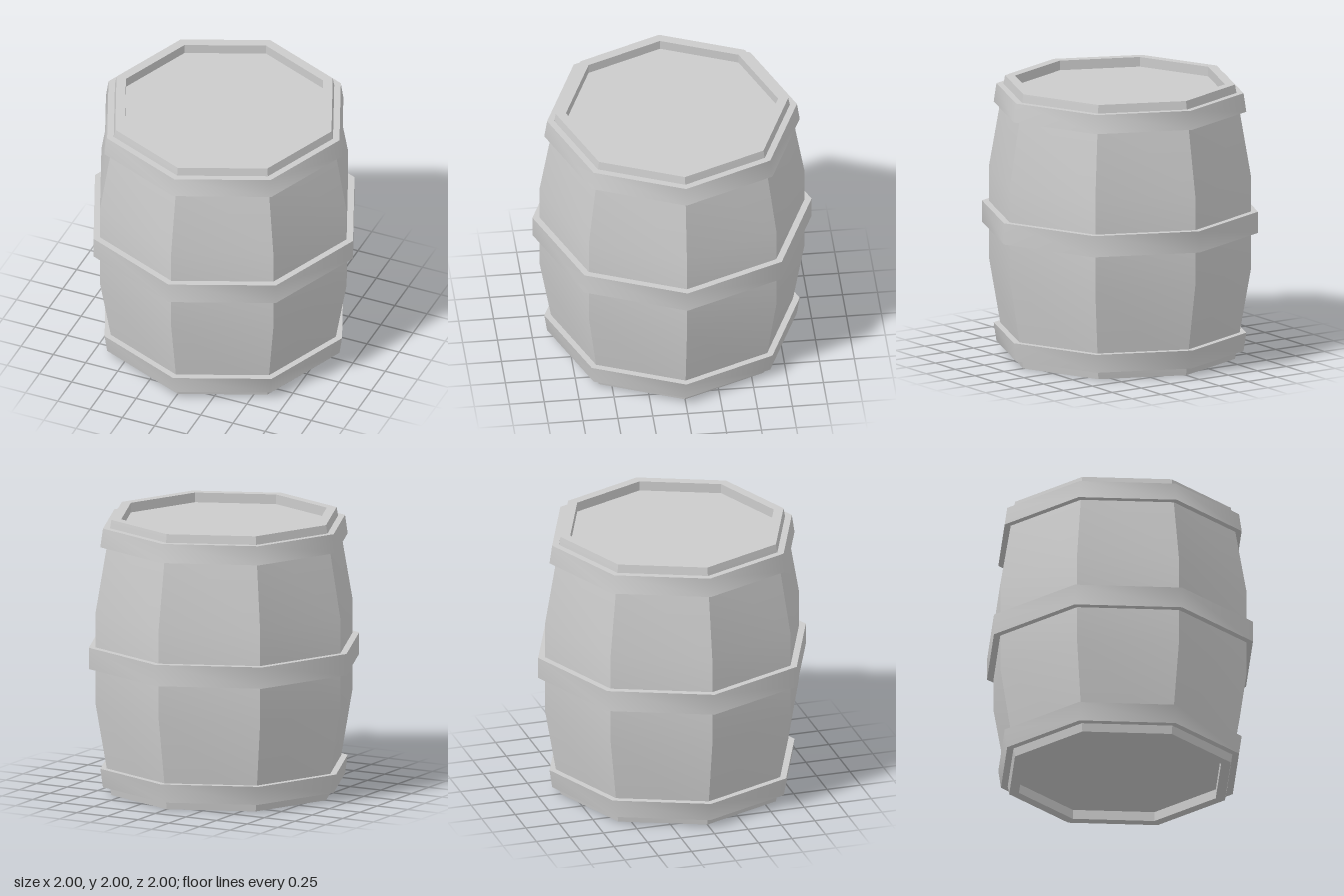
import * as THREE from 'three';
import { toCreasedNormals } from 'three/addons/utils/BufferGeometryUtils.js';

const SIDES = 8;
const material = new THREE.MeshStandardMaterial({ color: 0xcccccc });

// Eight-sided turned part; edges sharper than creaseDeg stay hard.
function turned(name, profile, creaseDeg) {
  const points = profile.map(([r, y]) => new THREE.Vector2(r, y));
  const geometry = new THREE.LatheGeometry(points, SIDES);
  const mesh = new THREE.Mesh(toCreasedNormals(geometry, THREE.MathUtils.degToRad(creaseDeg)), material);
  mesh.name = name;
  return mesh;
}

// Closed ring of rectangular section from (r0, y0) up to (r1, y1).
function hoop(name, r0, y0, r1, y1, thickness) {
  return turned(name, [
    [r0, y0], [r1, y1], [r1 - thickness, y1], [r0 - thickness, y0], [r0, y0],
  ], 50);
}

// Flat octagonal head closing one end of the barrel.
function head(name, y, facing) {
  const mesh = new THREE.Mesh(new THREE.CircleGeometry(0.76, SIDES), material);
  mesh.name = name;
  mesh.rotation.x = -facing * Math.PI / 2;
  mesh.position.y = y;
  return mesh;
}

export function createModel() {
  const barrel = new THREE.Group();
  barrel.name = 'barrel';

  // Bulging staves with a raised rim at both ends
  barrel.add(turned('staves', [
    [0.76, 0.07], [0.76, 0], [0.833, 0], [0.95, 0.67],
    [0.95, 1.33], [0.833, 2], [0.76, 2], [0.76, 1.93],
  ], 35));

  // Recessed heads
  barrel.add(head('topHead', 1.93, 1), head('bottomHead', 0.07, -1));

  // Bands around the staves
  barrel.add(
    hoop('bottomHoop', 0.895, 0.06, 0.915, 0.195, 0.05),
    hoop('middleHoop', 1, 0.925, 1, 1.08, 0.06),
    hoop('topHoop', 0.915, 1.805, 0.895, 1.94, 0.05),
  );
  return barrel;
}
